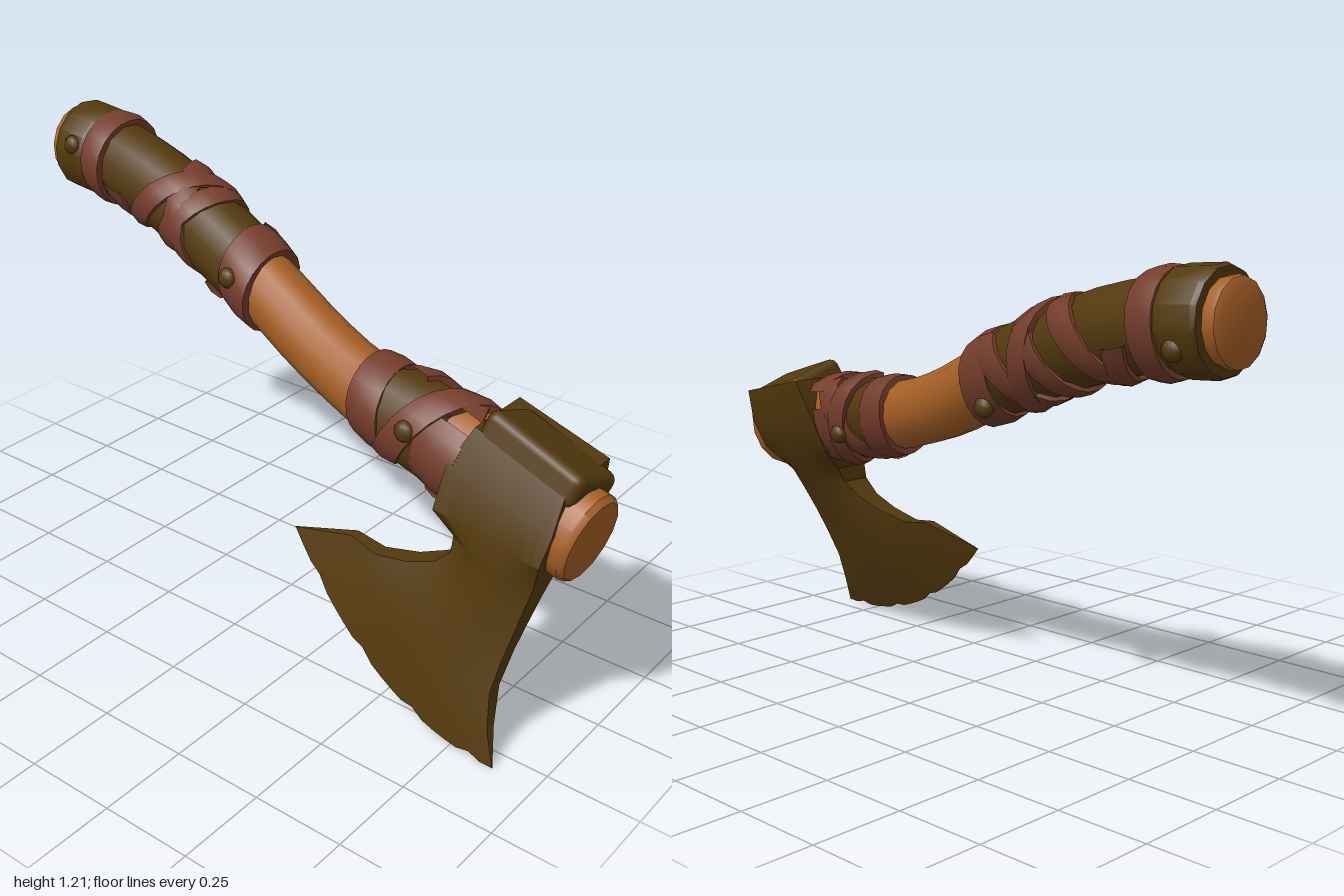
import * as THREE from 'three';
import { toCreasedNormals } from 'three/addons/utils/BufferGeometryUtils.js';
import { RoundedBoxGeometry } from 'three/addons/geometries/RoundedBoxGeometry.js';

const mat = (name, color) => {
  const m = new THREE.MeshStandardMaterial({ color, side: THREE.DoubleSide });
  m.name = name;
  return m;
};
const V = (x, y, z) => new THREE.Vector3(x, y, z);

// Centre line of the bent handle, from the head to the pommel
const spine = new THREE.CatmullRomCurve3([
  V(-0.112, 0.578, 1.05), V(-0.075, 0.64, 0.75), V(-0.04, 0.69, 0.5), V(-0.012, 0.726, 0.27),
  V(0.03, 0.782, 0.07), V(0.07, 0.862, -0.12), V(0.1, 0.922, -0.27), V(0.135, 0.985, -0.45),
  V(0.165, 1.045, -0.65), V(0.19, 1.082, -0.88), V(0.197, 1.085, -1.05),
]);

// Frame of the handle at a given z: centre, tangent, tilted up and side axes
function frame(z) {
  let lo = 0, hi = 1;
  for (let i = 0; i < 30; i++) {
    const m = (lo + hi) / 2;
    if (spine.getPoint(m).z > z) lo = m; else hi = m;
  }
  const c = spine.getPoint(lo), t = spine.getTangent(lo);
  const n = V(0.34, 0.94, 0);
  n.addScaledVector(t, -n.dot(t)).normalize();
  return { c, t, n, b: t.clone().cross(n) };
}

// Point on the oval handle surface, raised by off
function surf(z, a, off = 0, scale = 1) {
  const f = frame(z);
  const front = THREE.MathUtils.smoothstep(z, 0.15, 0.7);
  const back = THREE.MathUtils.smoothstep(-z, 0.1, 0.9);
  const rx = (0.087 + 0.011 * front + 0.004 * back + off) * scale;
  const ry = (0.096 + 0.025 * front + 0.004 * back + off) * scale;
  return f.c.addScaledVector(f.n, Math.cos(a) * ry).addScaledVector(f.b, Math.sin(a) * rx);
}

// Skin through rows of points
function skin(rows, crease = 0.6) {
  const w = rows[0].length, idx = [];
  for (let i = 0; i < rows.length - 1; i++) {
    for (let j = 0; j < w - 1; j++) {
      const p = i * w + j, q = p + w;
      idx.push(p, p + 1, q, p + 1, q + 1, q);
    }
  }
  const g = new THREE.BufferGeometry().setFromPoints(rows.flat());
  g.setIndex(idx);
  return toCreasedNormals(g, crease);
}

// Tube along the handle; stations are [z, offset, scale]
function sleeve(stations, sides) {
  return skin(stations.map(([z, off, s = 1]) =>
    Array.from({ length: sides + 1 }, (_, j) => surf(z, (j / sides) * Math.PI * 2, off, s))));
}

// Flat strap wound from angle a0 to a1 while moving from z0 to z1
function strap(z0, z1, a0, a1, w, off, tilt = 0) {
  const n = Math.max(8, Math.ceil((a1 - a0) * 3.2)), rows = [];
  for (let i = 0; i <= n; i++) {
    const k = i / n, a = a0 + (a1 - a0) * k;
    const z = z0 + (z1 - z0) * k + tilt * Math.cos(a);
    const o = off + 0.003 * Math.sin(a * 3);
    rows.push([[-w / 2, -0.01], [-w / 2, o - 0.003], [0, o + 0.003], [w / 2, o - 0.003], [w / 2, -0.01]]
      .map(([dz, r]) => surf(z + dz, a, r)));
  }
  return skin(rows);
}

// Blade: rows of [front z, front y, back z, back y, half thickness, bow]
function bladeGeometry() {
  const spans = [
    [0.93, 0.73, 0.655, 0.79, 0.001, 0], [0.93, 0.73, 0.655, 0.79, 0.1, 0],
    [0.93, 0.63, 0.61, 0.69, 0.118, 0], [0.915, 0.55, 0.6, 0.58, 0.112, 0],
    [0.89, 0.47, 0.645, 0.51, 0.09, 0], [0.875, 0.41, 0.643, 0.465, 0.074, 0],
    [0.86, 0.34, 0.6, 0.42, 0.058, -0.015], [0.845, 0.27, 0.52, 0.388, 0.048, -0.03],
    [0.832, 0.18, 0.42, 0.367, 0.038, -0.05], [0.848, 0.09, 0.33, 0.38, 0.026, -0.07],
    [0.88, 0.003, 0.14, 0.33, 0.002, -0.09],
  ];
  const cols = 20;
  return skin(spans.map(([za, ya, zb, yb, h, bow], i) => {
    const at = (k, side) => {
      const s = k / cols, taper = i < 4 ? 1 : 0.6 + 0.4 * Math.sin(Math.PI * s);
      const nick = i === spans.length - 1 && k % 5 === 2 ? 0.009 : 0;
      const z = za + (zb - za) * s, y = ya + (yb - ya) * s + 4 * s * (1 - s) * bow + nick;
      return V(-0.266 + 0.36 * y - 0.05 * z + side * h * taper, y, z);
    };
    const row = [];
    for (let k = cols; k >= 0; k--) row.push(at(k, 1));
    for (let k = 0; k <= cols; k++) row.push(at(k, -1));
    row.push(row[0].clone());
    return row;
  }), 0.5);
}

export function createModel() {
  const group = new THREE.Group();
  const wood = mat('wood', 0xa55f25), metal = mat('darkBronze', 0x53390d), leather = mat('leather', 0x743d2b);
  const add = (name, geo, m) => {
    const mesh = new THREE.Mesh(geo, m);
    mesh.name = name;
    group.add(mesh);
    return mesh;
  };
  const TAU = Math.PI * 2;

  // Wooden handle with closed, slightly rounded ends
  const stations = [[0.985, 0, 0.001], [0.98, 0, 0.9], [0.965, 0, 1]];
  for (let z = 0.9; z > -0.95; z -= 0.08) stations.push([z, 0]);
  stations.push([-0.97, 0.006], [-0.985, 0.004], [-0.994, 0, 0.9], [-0.998, 0, 0.001]);
  add('handle', sleeve(stations, 14), wood);

  // Axe head: blade with cheeks, and the plate over the eye
  add('blade', bladeGeometry(), metal);
  const f = frame(0.79);
  const plate = add('eyePlate', new RoundedBoxGeometry(0.18, 0.09, 0.3, 2, 0.025), metal);
  plate.quaternion.setFromRotationMatrix(new THREE.Matrix4().makeBasis(f.b, f.n, f.t.clone().negate()));
  plate.rotateX(0.07);
  plate.position.copy(f.c).addScaledVector(f.n, 0.112).addScaledVector(f.b, -0.004);

  // Grip cover and pommel collar
  const grip = [];
  for (let z = -0.17; z > -0.9; z -= 0.09) grip.push([z, 0.014]);
  add('gripCover', sleeve(grip, 12), metal);
  add('pommelCollar', sleeve([[-0.8, 0.01], [-0.835, 0.022], [-0.85, 0.03], [-0.94, 0.03],
    [-0.952, 0.024], [-0.952, -0.01]], 14), metal);

  // Leather bands and crossing straps on the grip
  add('gripFrontBand', strap(-0.18, -0.18, 0, TAU, 0.105, 0.022, -0.03), leather);
  add('gripRearBand', strap(-0.795, -0.795, 0, TAU, 0.075, 0.032, -0.015), leather);
  add('gripMiddleBand', strap(-0.43, -0.43, 0, TAU, 0.065, 0.024, 0.035), leather);
  add('gripStrapA', strap(-0.24, -0.7, 0.4, 0.4 + TAU * 1.6, 0.078, 0.024), leather);
  add('gripStrapB', strap(-0.7, -0.26, 1.6, 1.6 + TAU * 1.3, 0.07, 0.028), leather);

  // Wrapping behind the head
  add('neckCover', sleeve([[0.56, -0.005], [0.55, 0.008], [0.36, 0.012]], 12), metal);
  add('neckBand', strap(0.33, 0.33, 0, TAU, 0.1, 0.017, -0.025), leather);
  add('neckLowerWrap', strap(0.57, 0.57, 1, 5.3, 0.13, 0.012), leather);
  add('neckStrapA', strap(0.59, 0.37, -0.6, 3.4, 0.085, 0.018), leather);
  add('neckStrapB', strap(0.37, 0.59, 2.9, 6.9, 0.085, 0.022), leather);
  add('neckStrapC', strap(0.4, 0.57, -0.3, 3.2, 0.07, 0.025), leather);

  // Rivets, each [z, offset, angle]
  for (const [z, off, a] of [[0.48, 0.018, 1.6], [0.48, 0.018, -1.6], [-0.18, 0.022, 1.95],
    [-0.19, 0.022, -1.7], [-0.88, 0.022, 1.72], [-0.88, 0.022, -1.6]]) {
    const rivet = add('rivet', new THREE.SphereGeometry(0.029, 10, 8), metal);
    rivet.position.copy(surf(z, a, off));
    rivet.scale.set(0.8, 1, 1);
  }
  return group;
}
